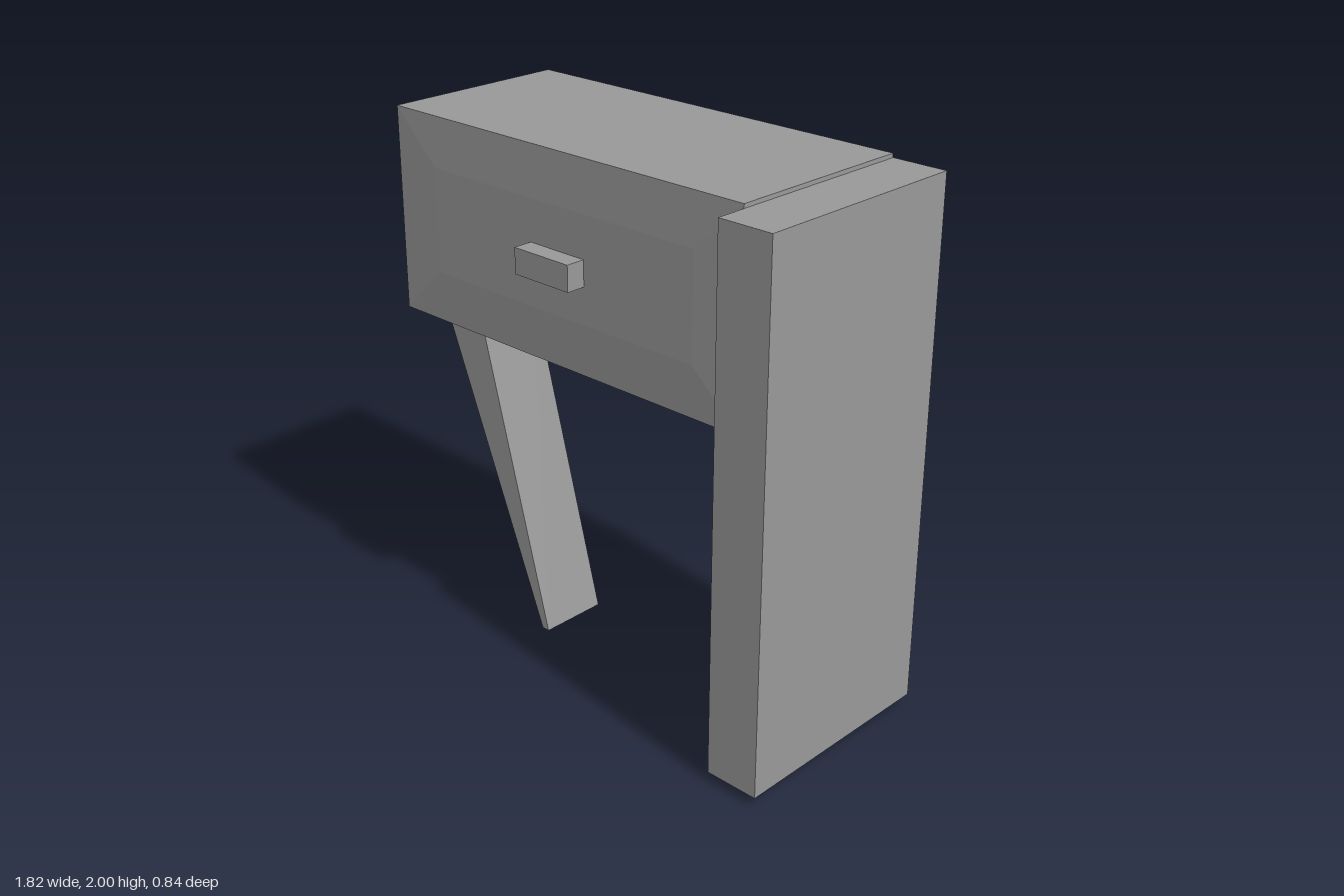
import * as THREE from 'three';

const grey = new THREE.MeshStandardMaterial({ color: 0x999999 });
grey.name = 'grey';

function part(name, geometry) {
  const mesh = new THREE.Mesh(geometry, grey);
  mesh.name = name;
  return mesh;
}

// Box given by its lower and upper limits
function boxBetween(name, [x0, y0, z0], [x1, y1, z1]) {
  const geometry = new THREE.BoxGeometry(x1 - x0, y1 - y0, z1 - z0);
  geometry.translate((x0 + x1) / 2, (y0 + y1) / 2, (z0 + z1) / 2);
  return part(name, geometry);
}

// Closed flat-faced solid through rectangles [x0, x1, y0, y1, z], from back to front
function loftRectangles(rectangles) {
  const rings = rectangles.map(([x0, x1, y0, y1, z]) =>
    [[x0, y0, z], [x1, y0, z], [x1, y1, z], [x0, y1, z]]);
  const positions = [];
  const quad = (a, b, c, d) => positions.push(...a, ...b, ...c, ...a, ...c, ...d);
  for (let r = 0; r < rings.length - 1; r++) {
    for (let i = 0; i < 4; i++) {
      const j = (i + 1) % 4;
      quad(rings[r][i], rings[r][j], rings[r + 1][j], rings[r + 1][i]);
    }
  }
  const [a, b, c, d] = rings[0];
  quad(d, c, b, a);
  quad(...rings[rings.length - 1]);
  const geometry = new THREE.BufferGeometry();
  geometry.setAttribute('position', new THREE.Float32BufferAttribute(positions, 3));
  geometry.computeVertexNormals();
  return geometry;
}

export function createModel() {
  const table = new THREE.Group();
  table.name = 'sideTable';

  // Drawer cabinet with a slightly raised, bevelled front
  table.add(part('cabinet', loftRectangles([
    [-0.91, 0.703, 1.243, 2, -0.42],
    [-0.91, 0.703, 1.243, 2, 0.307],
    [-0.71, 0.51, 1.43, 1.815, 0.314],
  ])));

  // Drawer handle
  table.add(boxBetween('handle', [-0.225, 1.565, 0.305], [0.028, 1.66, 0.387]));

  // Broad slab that carries one end
  table.add(boxBetween('sidePanel', [0.703, 0.035, -0.422], [0.91, 1.985, 0.422]));

  // Slanted leg tapering inward to the floor
  const outline = new THREE.Shape([
    [-0.91, 1.243], [-0.408, 0], [-0.376, 0], [-0.708, 1.243],
  ].map(([x, y]) => new THREE.Vector2(x, y)));
  const leg = new THREE.ExtrudeGeometry(outline, { depth: 0.27, bevelEnabled: false });
  leg.translate(0, 0, -0.128);
  table.add(part('slantedLeg', leg));

  return table;
}
